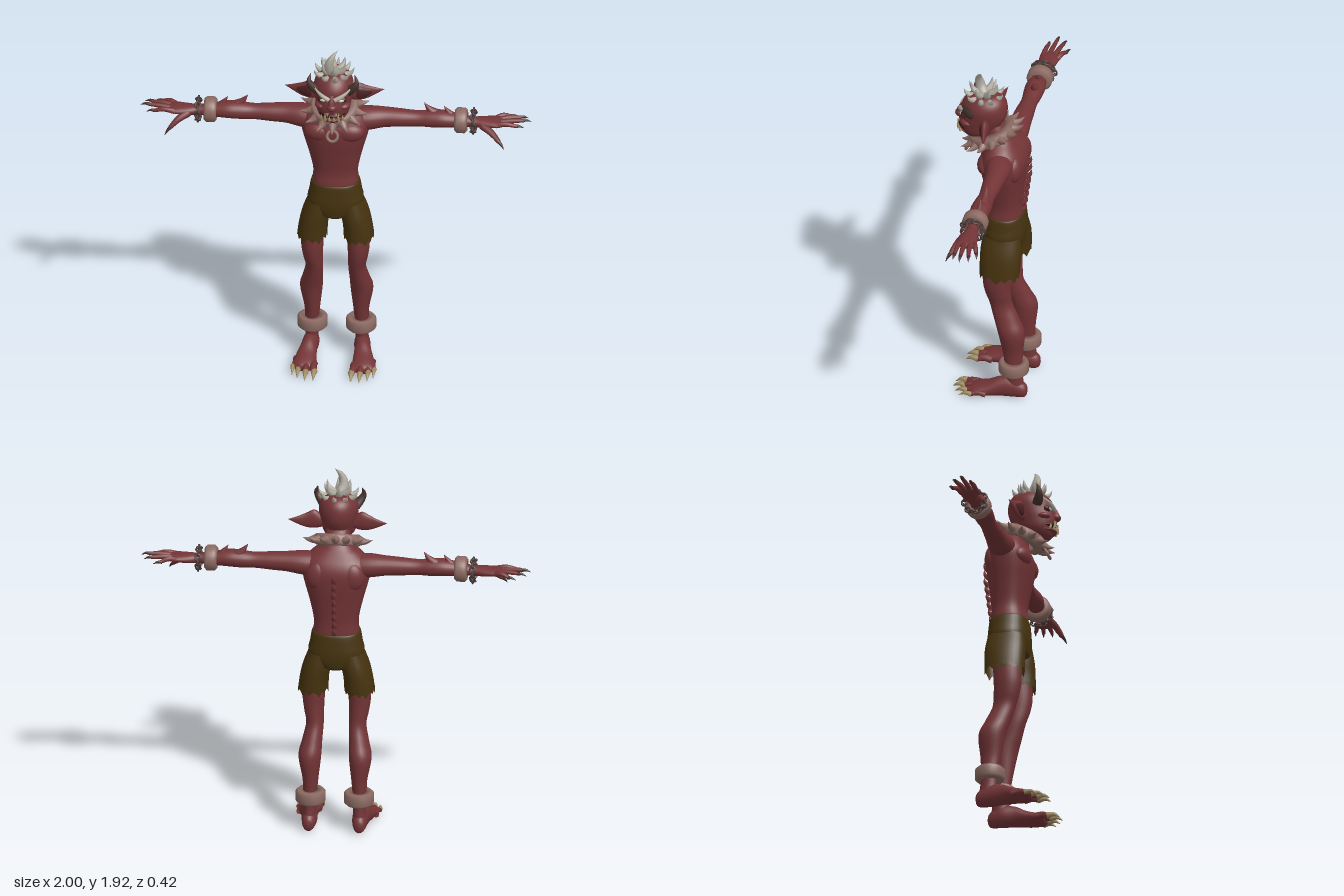
import * as THREE from 'three';
import { mergeVertices } from 'three/addons/utils/BufferGeometryUtils.js';

const mat = (name, color) => new THREE.MeshStandardMaterial({ name, color, side: THREE.DoubleSide });
const V = (p) => new THREE.Vector3(...p);

// Smooth body from elliptical sections [t, u, v, ru, rv] along an axis.
// y: u = x, v = z;  x: u = z, v = y;  z: u = y, v = x
function loft(axis, sections, { n = 24, steps = 5, square = 1 } = {}) {
  const mid = new THREE.CatmullRomCurve3(sections.map((s) => V(s.slice(0, 3))), false, 'catmullrom');
  const rad = new THREE.CatmullRomCurve3(sections.map((s) => V([s[3], s[4], 0])), false, 'catmullrom');
  const rows = (sections.length - 1) * steps;
  const pos = [], idx = [];
  const bulge = (a) => Math.sign(a) * Math.abs(a) ** square;
  for (let i = 0; i <= rows; i++) {
    const c = mid.getPoint(i / rows), r = rad.getPoint(i / rows);
    for (let j = 0; j < n; j++) {
      const a = (j / n) * Math.PI * 2;
      const u = c.y + Math.max(r.x, 0) * bulge(Math.cos(a));
      const v = c.z + Math.max(r.y, 0) * bulge(Math.sin(a));
      pos.push(...(axis === 'y' ? [u, c.x, v] : axis === 'x' ? [c.x, v, u] : [v, u, c.x]));
      if (i < rows) {
        const p = i * n + j, q = i * n + ((j + 1) % n);
        idx.push(p, p + n, q, q, p + n, q + n);
      }
    }
  }
  const g = new THREE.BufferGeometry();
  g.setAttribute('position', new THREE.Float32BufferAttribute(pos, 3));
  g.setIndex(idx);
  g.computeVertexNormals();
  return g;
}

// Curved horn, claw or finger, tapering from r0 to r1
function taper(points, r0, r1 = 0.0005, power = 1.4) {
  const curve = new THREE.CatmullRomCurve3(points.map(V));
  const g = new THREE.TubeGeometry(curve, 8, 1, 8);
  const p = g.attributes.position, v = new THREE.Vector3();
  for (let k = 0; k < p.count; k++) {
    const s = Math.floor(k / 9) / 8, c = curve.getPointAt(s);
    v.fromBufferAttribute(p, k).sub(c).multiplyScalar(r0 + (r1 - r0) * s ** power).add(c);
    p.setXYZ(k, v.x, v.y, v.z);
  }
  g.deleteAttribute('uv');
  g.deleteAttribute('normal');
  const m = mergeVertices(g, 1e-6);
  m.computeVertexNormals();
  return m;
}

const ball = (c, r) => new THREE.SphereGeometry(1, 20, 14).scale(...r).translate(...c);

// Rounded hollow band
function band(inner, outer, h) {
  const b = Math.min(0.012, h * 0.2), y = h / 2;
  const pts = [[inner, -y], [outer - b, -y], [outer, -y + b], [outer, y - b], [outer - b, y], [inner, y], [inner, -y]];
  return new THREE.LatheGeometry(pts.map((p) => new THREE.Vector2(...p)), 32);
}

function mirrored(g) {
  const m = g.clone().scale(-1, 1, 1);
  const a = m.index.array;
  for (let i = 0; i < a.length; i += 3) [a[i], a[i + 1]] = [a[i + 1], a[i]];
  return m;
}

export function createModel() {
  const model = new THREE.Group();
  const skin = mat('red skin', 0x733436), innerSkin = mat('dark skin', 0x4a2022);
  const cloth = mat('brown cloth', 0x46330f), leather = mat('pale leather', 0x8c6b63);
  const hairMat = mat('grey hair', 0xaaa69b), hornMat = mat('dark horn', 0x44302b);
  const clawMat = mat('bone claw', 0xa38d62), chainMat = mat('dark metal', 0x4c3b37);
  const mouthMat = mat('mouth', 0x240f10), eyeMat = mat('eye', 0xc4c2ae);

  const add = (name, g, m) => {
    const mesh = new THREE.Mesh(g, m);
    mesh.name = name;
    model.add(mesh);
    return mesh;
  };
  const both = (name, g, m) => {
    add(name + 'Left', g, m);
    add(name + 'Right', mirrored(g), m);
  };

  // Torso and neck
  add('torso', loft('y', [
    [1.02, 0, -0.055, 0.115, 0.09], [1.08, 0, -0.055, 0.117, 0.092], [1.15, 0, -0.058, 0.115, 0.088],
    [1.25, 0, -0.055, 0.136, 0.1], [1.35, 0, -0.052, 0.163, 0.116], [1.42, 0, -0.05, 0.176, 0.118],
    [1.47, 0, -0.05, 0.165, 0.1], [1.51, 0, -0.04, 0.125, 0.078], [1.55, 0, -0.02, 0.075, 0.065],
    [1.62, 0, 0.02, 0.06, 0.06]], { n: 32, square: 0.85 }), skin);
  both('chestMuscle', ball([0.075, 1.405, 0.02], [0.08, 0.055, 0.052]), skin);
  both('shoulderBlade', ball([0.085, 1.4, -0.12], [0.065, 0.08, 0.045]), skin);
  for (let i = 0; i < 8; i++) {
    const y = 1.1 + i * 0.043, z = -0.135 - 0.028 * Math.min(1, i / 5);
    add('spineSpike', taper([[0, y - 0.015, z], [0, y + 0.008, z - 0.022], [0, y + 0.035, z - 0.027]], 0.016), skin);
  }

  // Head
  add('head', loft('y', [
    [1.525, 0, 0.11, 0, 0], [1.535, 0, 0.11, 0.045, 0.045], [1.57, 0, 0.085, 0.078, 0.09],
    [1.62, 0, 0.075, 0.09, 0.113], [1.67, 0, 0.06, 0.098, 0.12], [1.72, 0, 0.055, 0.1, 0.117],
    [1.76, 0, 0.05, 0.083, 0.098], [1.785, 0, 0.047, 0.052, 0.062], [1.795, 0, 0.045, 0, 0]], { n: 28 }), skin);
  add('nose', ball([0, 1.643, 0.185], [0.026, 0.022, 0.026]), skin);
  add('noseBridge', taper([[0, 1.64, 0.19], [0, 1.67, 0.18], [0, 1.71, 0.16]], 0.02, 0.012), skin);
  add('mouth', ball([0, 1.59, 0.12], [0.07, 0.02, 0.072]), mouthMat);
  add('lowerLip', ball([0, 1.566, 0.115], [0.065, 0.014, 0.075]), skin);
  for (const [x, z] of [[0.012, 0.188], [0.034, 0.183], [0.055, 0.168]]) {
    const h = x === 0.034 ? 0.046 : 0.026;
    both('lowerTooth', taper([[x, 1.568, z], [x, 1.568 + h / 2, z + 0.005], [x, 1.568 + h, z + 0.002]], 0.008), clawMat);
  }
  both('upperTooth', taper([[0.022, 1.612, 0.186], [0.022, 1.6, 0.19], [0.022, 1.587, 0.19]], 0.007), clawMat);
  both('cheek', ball([0.055, 1.632, 0.13], [0.036, 0.02, 0.04]), skin);
  both('eyeSocket', ball([0.044, 1.674, 0.148], [0.032, 0.02, 0.021]), innerSkin);
  both('eye', ball([0.044, 1.674, 0.156], [0.021, 0.011, 0.018]), eyeMat);
  both('brow', taper([[0.014, 1.683, 0.18], [0.05, 1.702, 0.17], [0.085, 1.722, 0.14], [0.1, 1.742, 0.115]], 0.013), hairMat);
  both('ear', loft('x', [
    [0.08, 0.03, 1.64, 0.02, 0.03], [0.12, 0.026, 1.652, 0.021, 0.05], [0.165, 0.018, 1.647, 0.015, 0.038],
    [0.21, 0.008, 1.649, 0.009, 0.019], [0.255, 0, 1.655, 0, 0]]), skin);
  both('innerEar', loft('x', [
    [0.1, 0.038, 1.645, 0, 0], [0.125, 0.037, 1.65, 0.014, 0.034], [0.165, 0.027, 1.647, 0.01, 0.024],
    [0.215, 0.012, 1.651, 0, 0]]), innerSkin);
  both('horn', taper([[0.078, 1.7, 0.105], [0.105, 1.727, 0.122], [0.122, 1.76, 0.125], [0.112, 1.8, 0.11]], 0.028), hornMat);

  // Hair tufts in two rings around one tall curl
  const tufts = [[9, 0.055, 0.105, 1.765, 1.8, 0], [6, 0.03, 0.068, 1.785, 1.84, 0.4]];
  for (const [count, r0, r1, y0, y1, turn] of tufts) {
    for (let i = 0; i < count; i++) {
      const a = (i / count) * Math.PI * 2 + turn, c = Math.cos(a), s = Math.sin(a), m = (r0 + r1) / 2 + 0.01;
      add('hairTuft', taper([[c * r0 * 0.5, y0 - 0.01, 0.058 + s * r0 * 0.5],
        [c * m, (y0 + y1) / 2, 0.058 + s * m], [c * r1, y1 + 0.01, 0.058 + s * r1]], 0.024), hairMat);
    }
  }
  add('hairCurl', taper([[0, 1.77, 0.06], [-0.022, 1.82, 0.085], [-0.013, 1.87, 0.09], [0.02, 1.915, 0.07]], 0.032, 0.0005, 1.8), hairMat);

  // Tilted spiked collar with a hanging ring
  const collar = new THREE.Group();
  collar.name = 'collar';
  const collarBand = new THREE.Mesh(band(0.07, 0.122, 0.06), leather);
  collarBand.name = 'collarBand';
  collar.add(collarBand);
  for (let i = 0; i < 14; i++) {
    const a = ((i + 0.5) / 14) * Math.PI * 2, c = Math.cos(a), s = Math.sin(a);
    const spike = new THREE.Mesh(taper([[c * 0.105, 0, s * 0.105], [c * 0.145, -0.004, s * 0.145], [c * 0.18, 0.005, s * 0.18]], 0.028, 0.0005, 1), leather);
    spike.name = 'collarSpike';
    collar.add(spike);
  }
  collar.position.set(0, 1.547, 0.012);
  collar.rotation.x = 0.42;
  model.add(collar);
  const ring = add('collarRing', new THREE.TorusGeometry(0.027, 0.008, 8, 24), leather);
  ring.position.set(0, 1.447, 0.142);
  ring.rotation.x = -0.45;
  add('collarLink', new THREE.TorusGeometry(0.014, 0.006, 8, 16).rotateY(Math.PI / 2).translate(0, 1.484, 0.128), chainMat);

  // Arms and hands
  both('arm', loft('x', [
    [0.08, -0.055, 1.44, 0.07, 0.06], [0.17, -0.06, 1.445, 0.068, 0.061], [0.25, -0.066, 1.45, 0.055, 0.052],
    [0.33, -0.066, 1.45, 0.049, 0.047], [0.42, -0.066, 1.45, 0.042, 0.041], [0.49, -0.066, 1.453, 0.049, 0.045],
    [0.55, -0.065, 1.455, 0.051, 0.044], [0.62, -0.065, 1.45, 0.04, 0.036], [0.7, -0.065, 1.445, 0.031, 0.027],
    [0.76, -0.066, 1.445, 0.044, 0.025], [0.82, -0.068, 1.448, 0.052, 0.02], [0.85, -0.07, 1.448, 0.045, 0.014],
    [0.86, -0.07, 1.448, 0, 0]]), skin);
  both('elbowSpike', taper([[0.52, 1.47, -0.075], [0.48, 1.5, -0.075], [0.45, 1.54, -0.075]], 0.028), skin);
  both('forearmSpike', taper([[0.6, 1.465, -0.07], [0.575, 1.493, -0.07], [0.552, 1.528, -0.07]], 0.022), skin);
  const fingers = [ // base z, tip x, tip y, tip z
    [-0.032, 0.965, 1.443, -0.033], [-0.058, 0.998, 1.457, -0.075],
    [-0.084, 0.98, 1.452, -0.118], [-0.106, 0.93, 1.44, -0.148]];
  for (const [z, x, y, tz] of fingers) {
    const k = x - 0.045, zk = tz + (z - tz) * 0.28;
    both('finger', taper([[0.82, 1.448, z], [(0.82 + k) / 2, 1.457, (z + zk) / 2], [k + 0.008, y + 0.004, zk]], 0.015, 0.009), skin);
    both('fingerClaw', taper([[k, y + 0.004, zk], [k + 0.02, y + 0.006, (zk + tz) / 2], [x, y - 0.004, tz]], 0.0095), hornMat);
  }
  both('thumb', taper([[0.75, 1.44, -0.04], [0.8, 1.415, -0.01], [0.84, 1.378, 0.013]], 0.021, 0.011), skin);
  both('thumbClaw', taper([[0.835, 1.382, 0.011], [0.855, 1.362, 0.024], [0.866, 1.343, 0.032]], 0.011), hornMat);

  // Wrist cuffs and chain bracelets
  both('wristCuff', band(0.03, 0.066, 0.064).rotateZ(-Math.PI / 2).translate(0.64, 1.45, -0.065), leather);
  for (let i = 0; i < 14; i++) {
    const a = (i / 14) * Math.PI * 2;
    const link = new THREE.TorusGeometry(0.013, 0.005, 6, 12).scale(1, 1.25, 1);
    if (i % 2) link.rotateY(Math.PI / 2);
    link.translate(0, 0, 0.055).rotateX(a).translate(0.703, 1.446, -0.068);
    both('braceletLink', link, chainMat);
  }

  // Ragged shorts
  add('shortsTop', loft('y', [
    [0.865, 0, -0.055, 0, 0], [0.885, 0, -0.055, 0.06, 0.085], [0.92, 0, -0.056, 0.125, 0.102],
    [0.97, 0, -0.056, 0.143, 0.108], [1.02, 0, -0.056, 0.134, 0.106], [1.075, 0, -0.055, 0.124, 0.1],
    [1.082, 0, -0.055, 0.112, 0.088]], { n: 32, square: 0.85 }), cloth);
  const shortsLeg = loft('y', [
    [0.75, 0.119, -0.054, 0.077, 0.103], [0.82, 0.112, -0.055, 0.074, 0.105],
    [0.89, 0.098, -0.056, 0.072, 0.105], [0.97, 0.08, -0.056, 0.06, 0.095]], { n: 30, square: 0.9 });
  const hem = shortsLeg.attributes.position;
  for (let j = 0; j < 30; j++) hem.setY(j, 0.75 + [-0.018, 0.004, 0.014, -0.006, 0.01][j % 5]);
  shortsLeg.computeVertexNormals();
  both('shortsLeg', shortsLeg, cloth);

  // Legs and ankle cuffs
  both('leg', loft('y', [
    [0.05, 0.13, -0.14, 0.035, 0.05], [0.12, 0.128, -0.135, 0.033, 0.044], [0.2, 0.127, -0.13, 0.036, 0.046],
    [0.28, 0.125, -0.125, 0.041, 0.054], [0.4, 0.129, -0.118, 0.058, 0.07], [0.48, 0.119, -0.09, 0.051, 0.066],
    [0.56, 0.109, -0.06, 0.045, 0.06], [0.63, 0.115, -0.045, 0.051, 0.067], [0.7, 0.118, -0.039, 0.057, 0.072],
    [0.8, 0.115, -0.042, 0.06, 0.075], [0.9, 0.1, -0.05, 0.06, 0.08]]), skin);
  both('ankleCuff', band(0.032, 0.077, 0.07).translate(0.124, 0.181, -0.13), leather);

  // Feet with clawed toes
  both('foot', loft('z', [
    [-0.205, 0.045, 0.13, 0, 0], [-0.19, 0.045, 0.13, 0.038, 0.028], [-0.13, 0.058, 0.13, 0.058, 0.041],
    [-0.06, 0.055, 0.138, 0.055, 0.043], [0, 0.04, 0.146, 0.04, 0.053], [0.06, 0.03, 0.15, 0.03, 0.058],
    [0.09, 0.025, 0.15, 0.02, 0.046], [0.1, 0.025, 0.15, 0, 0]]), skin);
  for (const [x, z, r] of [[0.103, 0.115, 0.021], [0.139, 0.12, 0.019], [0.172, 0.1, 0.018], [0.196, 0.07, 0.016]]) {
    const tx = x + (x - 0.14) * 0.2;
    both('toe', taper([[x, 0.028, z - 0.07], [x, 0.034, z - 0.03], [tx, 0.024, z + 0.01]], r, r * 0.75), skin);
    both('toeClaw', taper([[tx, 0.025, z], [tx, 0.028, z + 0.035], [tx, 0.008, z + 0.068]], r * 0.85), clawMat);
  }
  return model;
}
